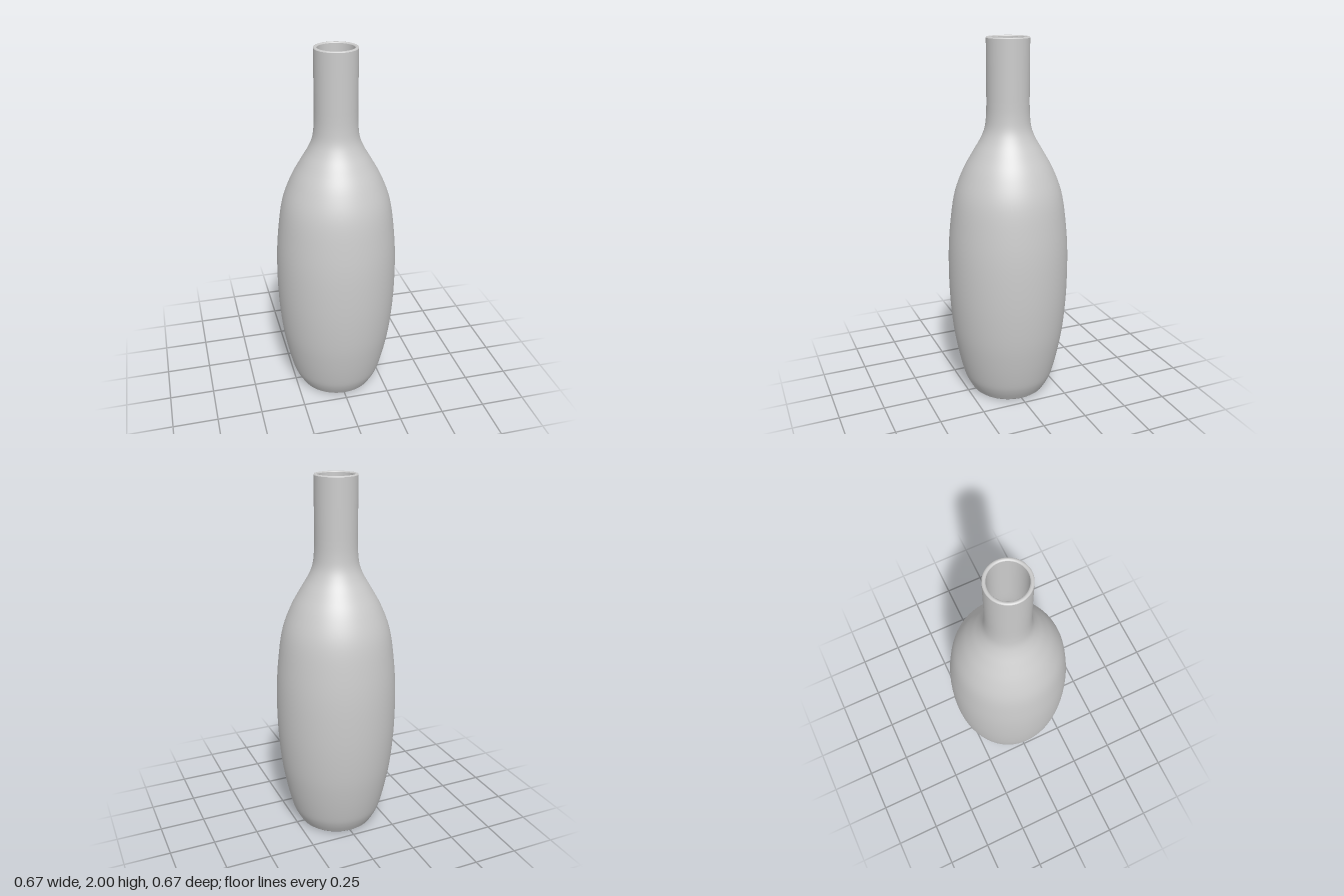
import * as THREE from 'three';

const SEGMENTS = 96;
const vec = ([r, y]) => new THREE.Vector2(r, y);

// Smooth curve through [radius, height] points
const smooth = (pts, n) => new THREE.SplineCurve(pts.map(vec)).getPoints(n);

export function createModel() {
  const group = new THREE.Group();
  group.name = 'bottle';
  const material = new THREE.MeshStandardMaterial({ color: 0xcccccc });

  const addLathe = (name, points) => {
    const mesh = new THREE.Mesh(new THREE.LatheGeometry(points, SEGMENTS), material);
    mesh.name = name;
    group.add(mesh);
  };

  const bodyProfile = [
    [0.212, 0.01], [0.24, 0.06], [0.262, 0.12], [0.292, 0.25], [0.316, 0.4], [0.331, 0.6],
    [0.332, 0.82], [0.319, 1.0], [0.293, 1.17], [0.245, 1.3], [0.19, 1.4],
    [0.149, 1.47], [0.125, 1.53], [0.116, 1.6], [0.114, 1.68],
  ];

  // Flat underside with a small bevelled foot
  addLathe('base', [[0, 0], [0.2, 0]].map(vec));
  addLathe('foot', [[0.2, 0], [0.212, 0.01]].map(vec));

  // Outer wall: rounded body, sloping shoulder and straight neck
  addLathe('outerWall', [...smooth(bodyProfile, 64), vec([0.114, 1.994])]);

  // Slightly rounded lip around the mouth
  addLathe('lip', [[0.114, 1.994], [0.111, 1.999], [0.105, 2], [0.099, 1.999], [0.096, 1.994]].map(vec));

  // Inner wall, following the outer one down to a bowl-shaped floor
  const innerProfile = bodyProfile.slice(2).reverse().map(([r, y]) => [r - 0.018, y]);
  addLathe('innerWall', [
    vec([0.096, 1.994]),
    ...smooth([...innerProfile, [0.2, 0.055], [0.1, 0.028], [0, 0.02]], 64),
  ]);

  return group;
}
